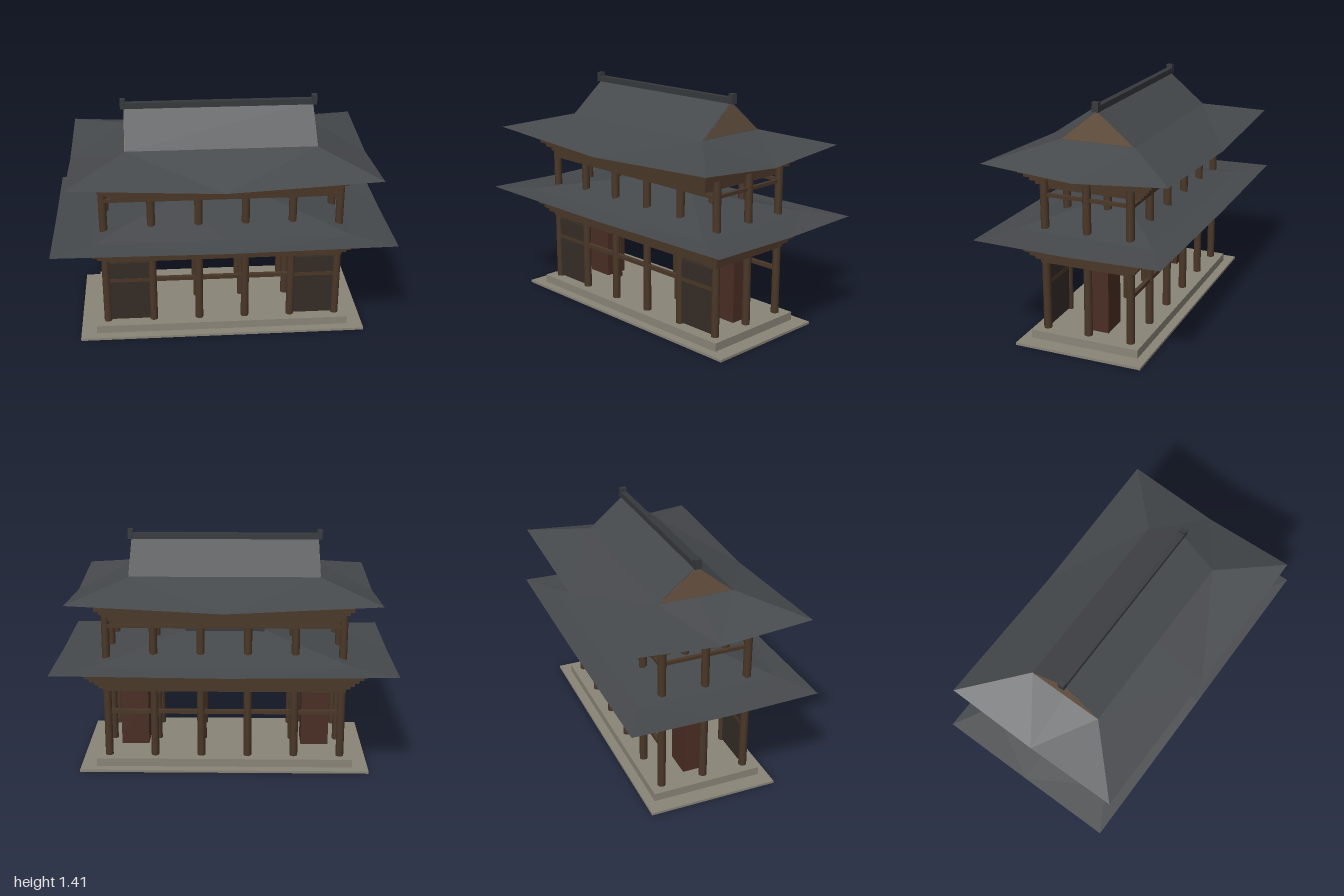
import * as THREE from 'three';

const mat = (color, extra = {}) => new THREE.MeshStandardMaterial({ color, roughness: 0.9, ...extra });

export function createModel() {
  const root = new THREE.Group();
  const wood = mat(0x4a3728), darkWood = mat(0x352c26), redWood = mat(0x4a2e24);
  const stone = mat(0x8a8578), plaster = mat(0x6b5644);
  const tile = mat(0x46494c, { flatShading: true, side: THREE.DoubleSide });
  const ridgeTile = mat(0x36393c);

  function add(name, geometry, material, x = 0, y = 0, z = 0, parent = root) {
    const mesh = new THREE.Mesh(geometry, material);
    mesh.name = name;
    mesh.position.set(x, y, z);
    parent.add(mesh);
    return mesh;
  }
  const box = (name, w, h, d, material, x, y, z, parent) =>
    add(name, new THREE.BoxGeometry(w, h, d), material, x, y, z, parent);
  function group(name) {
    const g = new THREE.Group();
    g.name = name;
    root.add(g);
    return g;
  }

  // Stone base in two steps
  box('baseSlab', 1.74, 0.015, 0.78, stone, 0, 0.0075, 0);
  box('plinth', 1.55, 0.05, 0.67, stone, 0, 0.04, 0);

  // Three rows of six columns on each storey
  function columns(name, bottom, top) {
    const g = group(name);
    const geo = new THREE.CylinderGeometry(0.024, 0.024, top - bottom, 12);
    for (let i = 0; i < 6; i++)
      for (const z of [-0.263, 0, 0.263])
        add('column', geo, wood, (i - 2.5) * 0.2816, (bottom + top) / 2, z, g);
  }
  columns('lowerColumns', 0.065, 0.66);
  columns('upperColumns', 0.66, 1.035);

  // Rectangular ring of four beams; hx and hz are outer half sizes
  function beamRing(name, hx, hz, y, t = 0.02) {
    const g = group(name);
    for (const s of [-1, 1]) {
      box('longBeam', 2 * hx, t, t, wood, 0, y, s * (hz - t / 2), g);
      box('shortBeam', t, t, 2 * (hz - t), wood, s * (hx - t / 2), y, 0, g);
    }
  }
  // Stepped brackets widening towards the eaves
  for (let i = 0; i < 6; i++) {
    const hz = 0.285 + i * 0.0238;
    beamRing('lowerBracketRing', hz + 0.441, hz, 0.492 + i * 0.0268);
    if (i > 0) beamRing('upperBracketRing', hz + 0.346, hz, 0.893 + i * 0.0252);
  }
  beamRing('upperTieRing', 0.715, 0.285, 0.888);

  // Tie beams along front and back
  for (const z of [-0.263, 0.263]) box('tieBeam', 1.408, 0.024, 0.024, wood, 0, 0.347, z);

  // Front panels and the chests standing behind them
  for (const s of [-1, 1]) {
    box('frontPanel', 0.24, 0.39, 0.02, darkWood, s * 0.563, 0.27, 0.263);
    box('innerCabinet', 0.17, 0.405, 0.145, redWood, s * 0.56, 0.2675, -0.0265);
  }

  // Ring of corners and edge midpoints for the roof surfaces
  const signs = [[1, 1], [1, 0], [1, -1], [0, -1], [-1, -1], [-1, 0], [-1, 1], [0, 1]];
  const ring = (hx, hz, yCorner, yMid = yCorner) =>
    signs.map(([a, b]) => [a * hx, a && b ? yCorner : yMid, b * hz]);

  function roofSurface(name, rings) {
    const pos = [];
    for (let r = 0; r + 1 < rings.length; r++) {
      const a = rings[r], b = rings[r + 1];
      for (let i = 0; i < 8; i++) {
        const j = (i + 1) % 8;
        if (i % 2) pos.push(...a[i], ...a[j], ...b[j], ...a[i], ...b[j], ...b[i]);
        else pos.push(...a[i], ...a[j], ...b[i], ...a[j], ...b[j], ...b[i]);
      }
    }
    const geo = new THREE.BufferGeometry();
    geo.setAttribute('position', new THREE.Float32BufferAttribute(pos, 3));
    geo.computeVertexNormals();
    add(name, geo, tile);
  }

  // Lower hipped roof: tiles above, flat soffit below
  const lowerEave = ring(1, 0.557, 0.672, 0.662);
  roofSurface('lowerRoof', [lowerEave, ring(0.76, 0.42, 0.68), ring(0.24, 0, 0.785)]);
  roofSurface('lowerSoffit', [ring(0.4, 0, 0.66), ring(0.8, 0.42, 0.66), lowerEave]);

  // Upper hip skirt with raised corners
  const upperEave = ring(0.892, 0.553, 1.085, 1.04);
  roofSurface('upperRoofSkirt', [upperEave, ring(0.56, 0.23, 1.175)]);
  roofSurface('upperSoffit', [ring(0.35, 0, 1.04), ring(0.7, 0.36, 1.04), upperEave]);

  // Triangular prism along x
  function gablePrism(name, halfWidth, bottom, top, length, material, x) {
    const shape = new THREE.Shape([
      new THREE.Vector2(-halfWidth, bottom), new THREE.Vector2(halfWidth, bottom), new THREE.Vector2(0, top),
    ]);
    const geo = new THREE.ExtrudeGeometry(shape, { depth: length, bevelEnabled: false });
    geo.translate(0, 0, -length / 2).rotateY(Math.PI / 2);
    add(name, geo, material, x);
  }
  gablePrism('upperRoof', 0.23, 1.175, 1.365, 1.12, tile, 0);
  for (const s of [-1, 1]) gablePrism('gableWall', 0.222, 1.177, 1.358, 0.004, plaster, s * 0.56);

  // Ridges with end blocks
  function ridge(name, halfLength, bottom, top, blockTop) {
    const g = group(name);
    box('ridgeBeam', 2 * halfLength, top - bottom, 0.036, ridgeTile, 0, (top + bottom) / 2, 0, g);
    for (const s of [-1, 1])
      box('ridgeEnd', 0.03, blockTop - bottom, 0.04, ridgeTile, s * halfLength, (blockTop + bottom) / 2, 0, g);
  }
  ridge('lowerRidge', 0.228, 0.77, 0.8, 0.824);
  ridge('upperRidge', 0.567, 1.355, 1.39, 1.412);

  return root;
}
